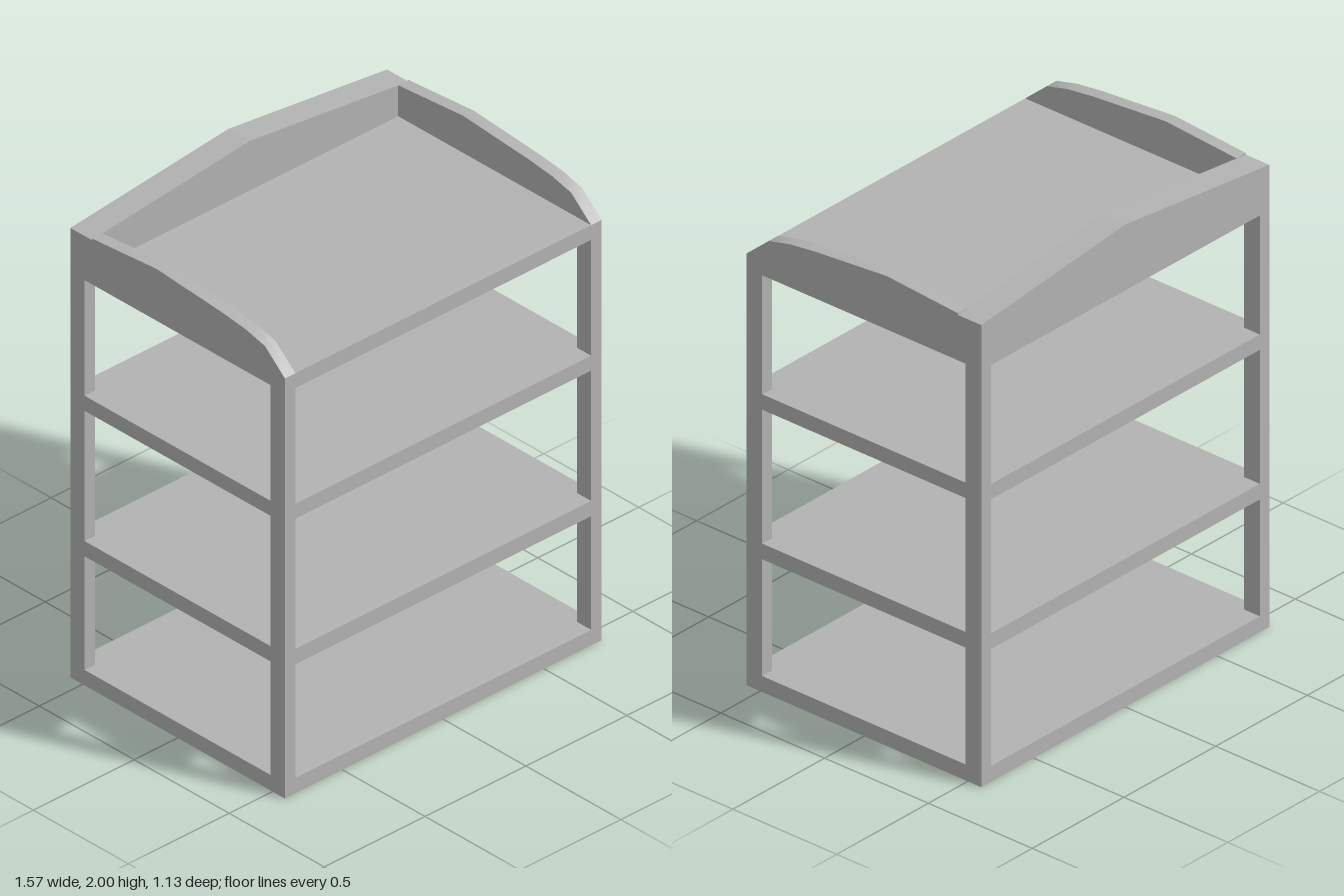
import * as THREE from 'three';
import { toCreasedNormals } from 'three/addons/utils/BufferGeometryUtils.js';

const HALF_W = 0.785, HALF_D = 0.565;
const POST_W = 0.052, POST_D = 0.075;
const BACK_Z = -0.452; // inner face of the rear parapet

export function createModel() {
  const group = new THREE.Group();
  const grey = new THREE.MeshStandardMaterial({ color: 0xb2b2b2 });
  grey.name = 'concrete grey';

  const add = (name, geometry, x = 0, y = 0, z = 0) => {
    const mesh = new THREE.Mesh(geometry, grey);
    mesh.name = name;
    mesh.position.set(x, y, z);
    group.add(mesh);
  };
  const extrude = (points, depth) => new THREE.ExtrudeGeometry(
    new THREE.Shape(points.map(([x, y]) => new THREE.Vector2(x, y))),
    { depth, bevelEnabled: false });

  // Floor slabs and roof slab, as [bottom, top]
  const slabs = [[0, 0.066], [0.55, 0.615], [1.17, 1.234], [1.727, 1.79]];
  slabs.forEach(([low, high], i) => {
    add(i === 3 ? 'roofSlab' : 'floorSlab',
      new THREE.BoxGeometry(HALF_W * 2, high - low, HALF_D * 2), 0, (low + high) / 2, 0);

    // Corner posts up to the next slab
    if (i === 3) return;
    const next = slabs[i + 1][0];
    for (const sx of [-1, 1]) for (const sz of [-1, 1]) {
      add('cornerPost', new THREE.BoxGeometry(POST_W, next - high, POST_D),
        sx * (HALF_W - POST_W / 2), (high + next) / 2, sz * (HALF_D - POST_D / 2));
    }
  });

  // Gabled rear parapet
  add('rearParapet', extrude([
    [-HALF_W, 1.79], [HALF_W, 1.79], [HALF_W, 1.915], [0, 2], [-HALF_W, 1.915],
  ], BACK_Z + HALF_D), 0, 0, -HALF_D);

  // Curved side parapets, profile drawn as [-z, y]
  const side = extrude([
    [-HALF_D, 1.79], [-BACK_Z, 1.79], [-BACK_Z, 1.922], [0.11, 1.948],
    [-0.24, 1.92], [-0.36, 1.905], [-0.46, 1.88],
  ], POST_W).rotateY(Math.PI / 2);
  const sideGeometry = toCreasedNormals(side, 0.6);
  add('leftParapet', sideGeometry, HALF_W - POST_W);
  add('rightParapet', sideGeometry, -HALF_W);

  return group;
}
